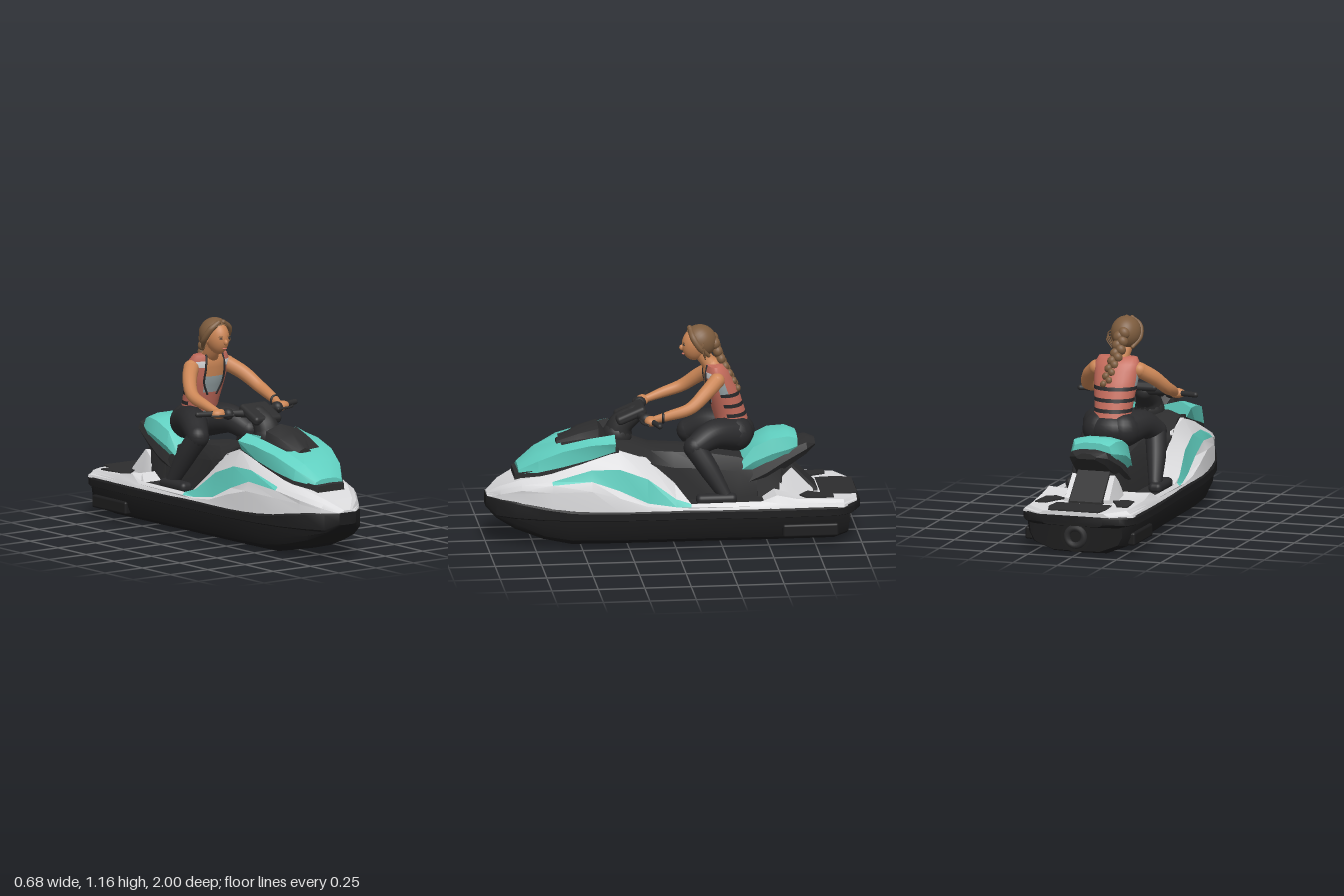
import * as THREE from 'three';
import { toCreasedNormals } from 'three/addons/utils/BufferGeometryUtils.js';
import { RoundedBoxGeometry } from 'three/addons/geometries/RoundedBoxGeometry.js';

const colour = (name, hex, side = THREE.FrontSide) => {
  const m = new THREE.MeshStandardMaterial({ color: hex, side });
  m.name = name;
  return m;
};

// Linear interpolation through [t, value] pairs
const sample = (pairs, t) => {
  const k = Math.max(1, Math.min(pairs.length - 1, pairs.findIndex(p => p[0] >= t)));
  const [a, va] = pairs[k - 1], [b, vb] = pairs[k];
  return va + (vb - va) * (t - a) / (b - a);
};
const beam = z => sample([[-1, 0.17], [-0.96, 0.25], [-0.9, 0.322], [-0.5, 0.325], [-0.2, 0.312], [0.3, 0.302],
  [0.55, 0.275], [0.7, 0.243], [0.85, 0.185], [0.95, 0.12], [1, 0.055]], z);
const rail = z => 0.22 + 0.045 * THREE.MathUtils.smoothstep(z, 0.5, 0.95);

export function createModel() {
  const model = new THREE.Group();
  const white = colour('white', 0xd8d8da), teal = colour('teal', 0x60cfc0);
  const black = colour('black trim', 0x2d2d2e), hullBlack = colour('hull black', 0x1d1d1e);
  const suit = colour('wetsuit', 0x2a2a2c), skin = colour('skin', 0xcb8656);
  const hair = colour('hair', 0x7d5c3e, THREE.DoubleSide), coral = colour('coral', 0xc56c5c);
  const grey = colour('grey', 0x93a0a3);

  const add = (name, geo, mat, pos = [0, 0, 0], parent = model) => {
    const m = new THREE.Mesh(geo, mat);
    m.name = name;
    m.position.set(...pos);
    parent.add(m);
    return m;
  };
  const ball = (name, mat, pos, r, parent) =>
    add(name, new THREE.SphereGeometry(1, 20, 14).scale(...r), mat, pos, parent);

  // Skin closed rings of points; pick(row, column) gives the material index, column -1 is a cap
  const loft = (name, rings, mats, pick = () => 0, crease = 0.6) => {
    const buckets = mats.map(() => []);
    const n = rings[0].length, last = rings.length - 1;
    const tri = (k, ...p) => p.forEach(v => buckets[k].push(...v));
    for (let i = 0; i < last; i++) for (let j = 0; j < n; j++) {
      const a = rings[i][j], b = rings[i][(j + 1) % n];
      const c = rings[i + 1][(j + 1) % n], d = rings[i + 1][j], k = pick(i, j);
      tri(k, a, b, c);
      tri(k, a, c, d);
    }
    for (const i of [0, last]) {
      const mid = [0, 1, 2].map(q => rings[i].reduce((s, p) => s + p[q], 0) / n);
      for (let j = 0; j < n; j++) {
        const a = rings[i][j], b = rings[i][(j + 1) % n];
        if (i) tri(pick(i, -1), mid, a, b);
        else tri(pick(i, -1), mid, b, a);
      }
    }
    const geo = new THREE.BufferGeometry();
    geo.setAttribute('position', new THREE.Float32BufferAttribute(buckets.flat(), 3));
    let start = 0;
    buckets.forEach((b, k) => { geo.addGroup(start, b.length / 3, k); start += b.length / 3; });
    add(name, toCreasedNormals(geo, crease), mats);
  };
  // Half outline x,y,x,y... listed bottom to top, mirrored into a ring at depth z
  const ring = ([z, ...v]) => {
    const half = [];
    for (let i = 0; i < v.length; i += 2) half.push([v[i], v[i + 1], z]);
    return [...half, ...half.filter(p => p[0] > 0).reverse().map(([x, y]) => [-x, y, z])];
  };
  // Tapered tube with round ends
  const limb = (name, pts, radii, mat, radial = 14) => {
    const g = new THREE.Group();
    g.name = name;
    model.add(g);
    const curve = new THREE.CatmullRomCurve3(pts.map(p => new THREE.Vector3(...p)));
    const seg = 20, geo = new THREE.TubeGeometry(curve, seg, 1, radial), pos = geo.attributes.position;
    const v = new THREE.Vector3();
    const steps = radii.map((r, i) => [i / (radii.length - 1), r]);
    for (let i = 0; i < pos.count; i++) {
      const t = Math.floor(i / (radial + 1)) / seg, c = curve.getPointAt(t);
      v.fromBufferAttribute(pos, i).sub(c).multiplyScalar(sample(steps, t)).add(c);
      pos.setXYZ(i, v.x, v.y, v.z);
    }
    add(name + 'Tube', geo, mat, [0, 0, 0], g);
    const r0 = radii[0], r1 = radii[radii.length - 1];
    ball(name + 'Start', mat, pts[0], [r0, r0, r0], g);
    ball(name + 'End', mat, pts[pts.length - 1], [r1, r1, r1], g);
  };
  // Thin horizontal plate from x,z corners
  const plate = (name, pts, y, mat) => {
    const shape = new THREE.Shape(pts.map(([x, z]) => new THREE.Vector2(x, -z)));
    add(name, new THREE.ExtrudeGeometry(shape, { depth: 0.008, bevelEnabled: false }).rotateX(-Math.PI / 2), mat, [0, y, 0]);
  };

  // Hull: depth and keel height
  loft('hull', [[-1, 0.17], [-0.96, 0.165], [-0.935, 0.155], [-0.93, 0.02], [-0.86, 0], [-0.5, 0], [-0.2, 0],
    [0.3, 0], [0.55, 0], [0.7, 0.03], [0.85, 0.085], [0.95, 0.15], [1, 0.2]].map(([z, k]) => {
    const w = beam(z), top = rail(z), lip = Math.max(0.165, k + 0.005), y = t => k + (lip - k) * t;
    return ring([z, 0, k, w * 0.46, y(0.02), w * 0.82, y(0.3), w * 0.9, y(0.6), w * 0.93, lip,
      w, lip + 0.008, w, top - 0.01, w * 0.96, top, 0, top]);
  }), [hullBlack]);

  // Deck: depth, stripe edge x, stripe bottom and top y, crest x and y
  loft('deck', [
    [-0.98, 0.185, 0.23, 0.24, 0.12, 0.242], [-0.9, 0.29, 0.235, 0.25, 0.16, 0.25],
    [-0.65, 0.305, 0.24, 0.262, 0.2, 0.25], [-0.54, 0.302, 0.245, 0.285, 0.22, 0.28],
    [-0.46, 0.302, 0.24, 0.255, 0.265, 0.23], [-0.08, 0.296, 0.235, 0.25, 0.26, 0.23],
    [0, 0.284, 0.235, 0.275, 0.19, 0.34], [0.15, 0.264, 0.255, 0.385, 0.17, 0.48],
    [0.3, 0.255, 0.325, 0.44, 0.19, 0.53], [0.45, 0.25, 0.38, 0.44, 0.2, 0.482],
    [0.66, 0.23, 0.36, 0.377, 0.18, 0.41], [0.82, 0.19, 0.325, 0.35, 0.135, 0.372],
    [0.93, 0.125, 0.29, 0.312, 0.08, 0.325], [0.995, 0.045, 0.268, 0.273, 0.02, 0.277],
  ].map(([z, x, lo, hi, cx, cy]) => {
    const w = beam(z), y = rail(z) - 0.005;
    return ring([z, w * 0.97, y, w * 0.95, y + (lo - y) * 0.7, x, lo, x - 0.016, hi, cx, cy, 0, cy]);
  }), [white, teal], (i, j) => (j === 2 || j === 7) && i >= 5 && i <= 9 ? 1 : 0, 0.35);

  // Front hood with its dark inner panel
  loft('hood', [
    [0.32, 0.2, 0.53, 0.225, 0.58, 0.165, 0.615, 0, 0.53],
    [0.45, 0.2, 0.49, 0.212, 0.57, 0.14, 0.59, 0, 0.555],
    [0.6, 0.19, 0.45, 0.19, 0.535, 0.11, 0.55, 0, 0.542],
    [0.73, 0.16, 0.415, 0.15, 0.475, 0.09, 0.498, 0, 0.5],
    [0.83, 0.095, 0.395, 0.085, 0.412, 0.05, 0.425, 0, 0.428],
  ].map(ring), [teal, black], (i, j) => i < 2 && (j === 2 || j === 3) ? 1 : 0, 0.35);
  loft('hoodUnderside', [
    [0.3, 0.19, 0.45, 0.195, 0.55, 0, 0.52], [0.5, 0.195, 0.42, 0.19, 0.48, 0, 0.48],
    [0.72, 0.165, 0.37, 0.16, 0.43, 0, 0.43], [0.85, 0.09, 0.35, 0.085, 0.393, 0, 0.397],
  ].map(ring), [black]);
  loft('consoleDome', [
    [0.36, 0.08, 0.52, 0.07, 0.58, 0, 0.6], [0.4, 0.11, 0.53, 0.095, 0.63, 0, 0.66],
    [0.5, 0.11, 0.53, 0.085, 0.605, 0, 0.625], [0.62, 0.05, 0.53, 0.03, 0.55, 0, 0.56],
  ].map(ring), [black]);

  // Saddle: depth, base half width and height, shoulder height, top height
  loft('saddle', [[-0.5, 0.13, 0.25, 0.34, 0.4], [-0.35, 0.14, 0.22, 0.38, 0.46], [-0.2, 0.14, 0.22, 0.4, 0.485],
    [0, 0.17, 0.24, 0.42, 0.5], [0.12, 0.19, 0.34, 0.45, 0.51], [0.25, 0.18, 0.42, 0.53, 0.56], [0.4, 0.175, 0.45, 0.55, 0.58],
  ].map(([z, w, lo, mid, hi]) => ring([z, w, lo, w * 0.95, mid, 0.105, hi - 0.007, 0, hi])), [black]);
  // Cushion sections: depth, half width, bottom, top
  const cushion = ([z, w, lo, hi]) =>
    ring([z, w * 0.8, lo, w, lo + (hi - lo) * 0.4, w * 0.88, hi - 0.015, w * 0.4, hi, 0, hi]);
  loft('passengerSeat', [[-0.67, 0.11, 0.47, 0.56], [-0.62, 0.135, 0.44, 0.578], [-0.53, 0.145, 0.41, 0.57],
    [-0.43, 0.14, 0.37, 0.525], [-0.34, 0.12, 0.34, 0.4]].map(cushion), [teal]);
  loft('seatTail', [[-0.77, 0.06, 0.49, 0.52], [-0.72, 0.11, 0.455, 0.535], [-0.6, 0.135, 0.38, 0.5],
    [-0.5, 0.142, 0.32, 0.44], [-0.38, 0.13, 0.26, 0.38]].map(cushion), [black]);
  loft('seatPedestal', [[-0.78, 0.1, 0.24, 0.09, 0.26, 0, 0.26], [-0.63, 0.1, 0.24, 0.09, 0.41, 0, 0.41],
    [-0.58, 0.14, 0.24, 0.12, 0.4, 0, 0.4], [-0.45, 0.14, 0.24, 0.12, 0.4, 0, 0.4]].map(ring), [black]);
  loft('rearCowl', [[-0.75, 0.135, 0.24, 0.125, 0.27, 0, 0.26], [-0.64, 0.145, 0.24, 0.12, 0.385, 0, 0.37],
    [-0.57, 0.155, 0.24, 0.125, 0.33, 0, 0.33]].map(ring), [white]);

  // Deck pads, footwells and sponsons
  plate('sternPad', [[-0.155, -0.79], [0.155, -0.79], [0.165, -0.9], [0.14, -0.985], [-0.14, -0.985], [-0.165, -0.9]], 0.244, black);
  for (const s of [1, -1]) {
    const mirrored = pts => pts.map(([x, z]) => [x * s, z]);
    plate('sidePad', mirrored([[0.135, -0.72], [0.2, -0.67], [0.25, -0.7], [0.26, -0.85], [0.2, -0.85], [0.165, -0.77]]), 0.255, black);
    plate('footwell', mirrored([[0.13, -0.53], [0.25, -0.5], [0.268, -0.46], [0.265, -0.08], [0.13, -0.04]]), 0.232, black);
    add('sponson', new RoundedBoxGeometry(0.045, 0.07, 0.3, 2, 0.012), hullBlack, [s * 0.288, 0.09, -0.72]);
  }
  // Jet nozzle
  add('jetHousing', new THREE.CylinderGeometry(0.075, 0.085, 0.02, 24).rotateX(Math.PI / 2), hullBlack, [0, 0.1, -0.93]);
  add('jetNozzle', new THREE.TorusGeometry(0.048, 0.018, 10, 24), black, [0, 0.1, -0.945]);

  // Steering
  limb('steeringColumn', [[0, 0.57, 0.29], [0, 0.63, 0.265], [0, 0.68, 0.2]], [0.08, 0.065, 0.05], black);
  add('steeringPod', new RoundedBoxGeometry(0.18, 0.05, 0.17, 3, 0.02).rotateX(0.4), black, [0, 0.69, 0.22]);
  limb('handlebar', [[-0.325, 0.7, 0.095], [-0.17, 0.697, 0.14], [0, 0.69, 0.19], [0.17, 0.697, 0.14], [0.325, 0.7, 0.095]],
    [0.015, 0.015, 0.03, 0.015, 0.015], black);
  for (const s of [1, -1]) {
    ball('switchPod', black, [s * 0.165, 0.695, 0.15], [0.03, 0.032, 0.035]);
    limb('lever', [[s * 0.15, 0.69, 0.18], [s * 0.23, 0.692, 0.175], [s * 0.27, 0.692, 0.15]], [0.008, 0.006], black, 8);
  }

  // Rider torso in a buoyancy vest, one ring per height
  const heights = [0.61, 0.64, 0.67, 0.69, 0.725, 0.745, 0.785, 0.805, 0.835, 0.885, 0.92, 0.953];
  loft('vest', heights.map(y => {
    const t = (y - 0.61) / 0.343;
    const rx = sample([[0, 0.108], [0.2, 0.102], [0.65, 0.122], [0.9, 0.126], [1, 0.108]], t);
    const rz = sample([[0, 0.088], [0.6, 0.088], [0.9, 0.068], [1, 0.045]], t);
    return Array.from({ length: 24 }, (_, j) => {
      const a = j * Math.PI / 12;
      return [rx * Math.sin(a), y, -0.335 + 0.105 * t + rz * Math.cos(a)];
    });
  }), [coral, suit, grey, skin, white], (i, j) => {
    const d = Math.min(j, 23 - j);
    if (j < 0) return 0;
    if (i === 0) return 2;
    if (d < 2 && i >= 5) return i < 8 ? 2 : 3;
    if (i === 9 && (d === 2 || d === 3)) return 4;
    if ((i === 7 || i === 8) && (d === 5 || d === 6)) return 2;
    return (i === 2 || i === 4 || i === 6) && d > 4 ? 1 : 0;
  }, 1);
  ball('hips', suit, [0, 0.575, -0.35], [0.135, 0.09, 0.1]);
  for (const s of [1, -1]) {
    limb('vestEdge', [[s * 0.054, 0.95, -0.189], [s * 0.062, 0.885, -0.18], [s * 0.06, 0.8, -0.2], [s * 0.03, 0.735, -0.212]],
      [0.006, 0.006], suit, 6);
    limb('arm', [[s * 0.12, 0.885, -0.235], [s * 0.18, 0.835, -0.17], [s * 0.225, 0.765, -0.08], [s * 0.22, 0.728, 0.03], [s * 0.205, 0.703, 0.11]],
      [0.042, 0.039, 0.034, 0.029, 0.02], skin);
    ball('hand', skin, [s * 0.21, 0.697, 0.13], [0.045, 0.027, 0.034]);
    limb('thigh', [[s * 0.065, 0.575, -0.34], [s * 0.125, 0.585, -0.21], [s * 0.17, 0.535, -0.11]], [0.095, 0.08, 0.06], suit);
    limb('shin', [[s * 0.17, 0.53, -0.11], [s * 0.195, 0.43, -0.175], [s * 0.22, 0.28, -0.265]], [0.06, 0.053, 0.036], suit);
    add('shoe', new RoundedBoxGeometry(0.075, 0.055, 0.22, 3, 0.025), suit, [s * 0.235, 0.262, -0.22]);
  }
  add('wristBand', new THREE.TorusGeometry(0.025, 0.007, 8, 20), suit, [0.214, 0.716, 0.066]);

  // Head with a narrower jaw
  limb('neck', [[-0.005, 0.93, -0.225], [-0.015, 0.965, -0.195], [-0.02, 1.01, -0.165]], [0.05, 0.04, 0.042], skin);
  const head = new THREE.SphereGeometry(1, 28, 20), hp = head.attributes.position;
  for (let i = 0; i < hp.count; i++) {
    const y = hp.getY(i), jaw = Math.max(0, -y), k = 1 - 0.12 * jaw;
    hp.setXYZ(i, hp.getX(i) * k * 0.06, y * 0.09, hp.getZ(i) * k * 0.08 + jaw * 0.015);
  }
  head.computeVertexNormals();
  add('head', head, skin, [-0.02, 1.055, -0.142]);
  ball('nose', skin, [-0.02, 1.036, -0.062], [0.011, 0.016, 0.015]);
  ball('lips', coral, [-0.02, 1.002, -0.069], [0.015, 0.004, 0.008]);
  for (const s of [1, -1]) {
    ball('eye', suit, [-0.02 + s * 0.025, 1.057, -0.07], [0.011, 0.004, 0.005]);
    ball('eyebrow', hair, [-0.02 + s * 0.025, 1.068, -0.07], [0.015, 0.003, 0.005]);
    ball('ear', skin, [-0.02 + s * 0.06, 1.045, -0.15], [0.008, 0.02, 0.013]);
    // Hair falling beside the face
    limb('sideLock', [[-0.02 + s * 0.015, 1.14, -0.105], [-0.02 + s * 0.06, 1.105, -0.115], [-0.02 + s * 0.074, 1.05, -0.15], [-0.02 + s * 0.05, 1, -0.2]],
      [0.014, 0.018, 0.017, 0.01], hair, 8);
  }
  const cap = new THREE.SphereGeometry(1, 28, 18, 0, Math.PI * 2, 0, Math.PI * 0.56).rotateX(-0.87).scale(0.082, 0.09, 0.09);
  add('hairCap', cap, hair, [-0.02, 1.07, -0.158]);
  for (let i = 0; i < 3; i++) {
    limb('looseStrand', [[0.04, 1.09 - i * 0.02, -0.17], [0.08 + i * 0.004, 1.06 - i * 0.015, -0.165], [0.055, 1.01 - i * 0.012, -0.18]],
      [0.004, 0.003], hair, 6);
  }
  // Plaited braid down the back
  const braid = new THREE.CatmullRomCurve3([[-0.02, 1.08, -0.23], [-0.01, 0.99, -0.262], [0.015, 0.9, -0.31], [0.03, 0.82, -0.355]].map(p => new THREE.Vector3(...p)));
  for (let i = 0; i < 14; i++) {
    const p = braid.getPointAt(i / 13), s = i % 2 ? 1 : -1, r = 0.035 - i * 0.0012;
    ball('braidPlait', hair, [p.x + s * 0.013, p.y, p.z], [r * 0.9, r, r * 0.85]).rotation.z = s * 0.5;
  }
  return model;
}
